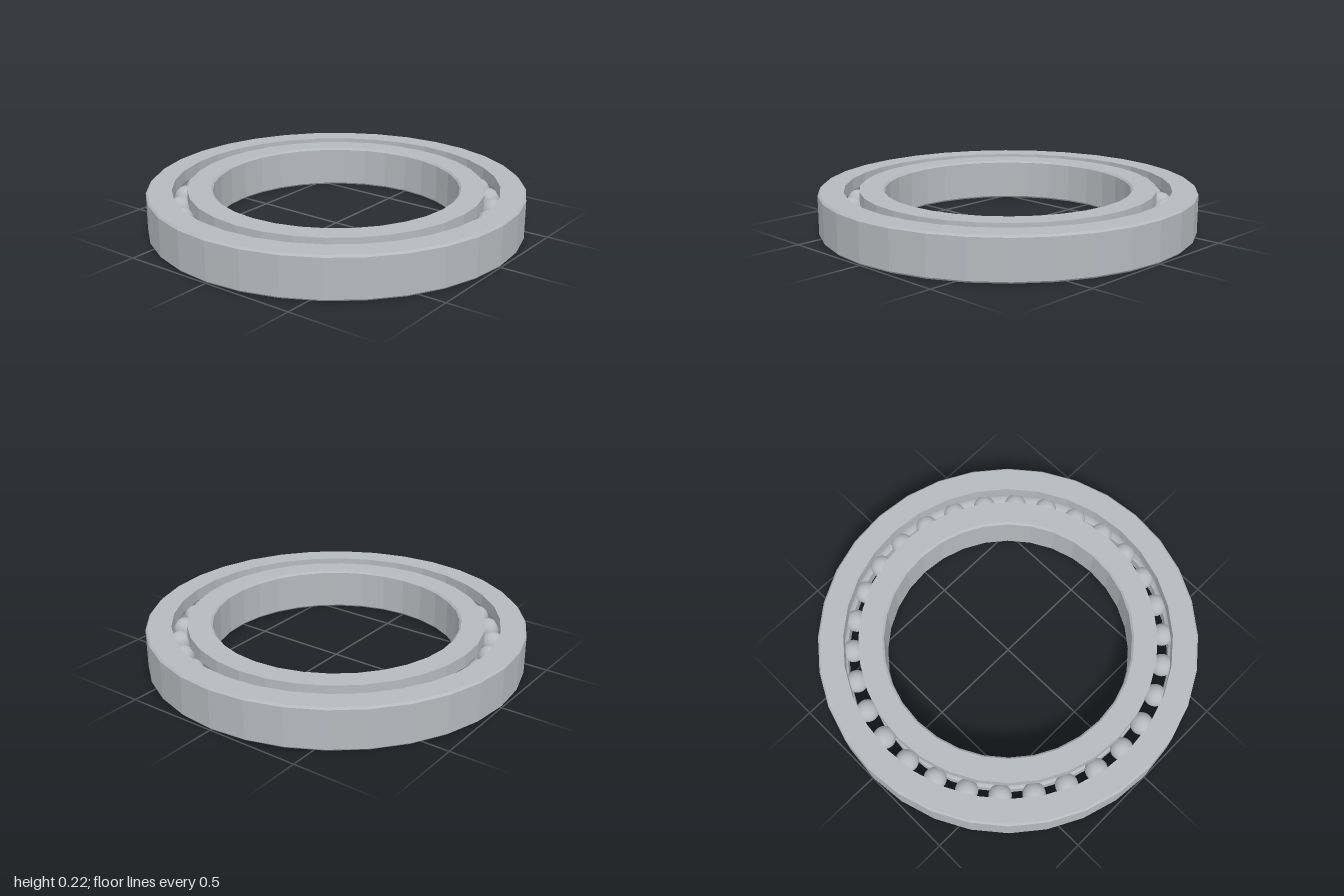
import * as THREE from 'three';

const HEIGHT = 0.224, MID = HEIGHT / 2;
const SEGMENTS = 32, BALLS = 30;
const PITCH = 0.826, BALL_R = 0.06, LAND = 0.04; // ball circle, ball radius, half gap
const CHAMFER = 0.01;

// Arc of the ball groove in cross-section, from angle a to angle b
function groove(a, b, steps = 8) {
  const r = BALL_R + 0.001, points = [];
  for (let i = 0; i <= steps; i++) {
    const t = a + ((b - a) * i) / steps;
    points.push([PITCH + r * Math.cos(t), MID + r * Math.sin(t)]);
  }
  return points;
}

// Faceted ring turned from a closed counterclockwise cross-section
function ring(name, profile, material) {
  const points = [...profile, profile[0]].map(([x, y]) => new THREE.Vector2(x, y));
  const geometry = new THREE.LatheGeometry(points, SEGMENTS).toNonIndexed();
  geometry.computeVertexNormals();
  const mesh = new THREE.Mesh(geometry, material);
  mesh.name = name;
  return mesh;
}

export function createModel() {
  const steel = new THREE.MeshStandardMaterial({ color: 0xb6b9be });
  steel.name = 'steel';
  const model = new THREE.Group();
  model.name = 'ballBearing';
  const half = Math.acos(LAND / (BALL_R + 0.001));

  // Outer ring: chamfered outside, grooved inside
  const outerLand = PITCH + LAND, outer = 1;
  model.add(ring('outerRing', [
    [outerLand, 0], [outer - CHAMFER, 0], [outer, CHAMFER],
    [outer, HEIGHT - CHAMFER], [outer - CHAMFER, HEIGHT], [outerLand, HEIGHT],
    ...groove(half, -half),
  ], steel));

  // Inner ring: grooved outside, chamfered bore
  const innerLand = PITCH - LAND, bore = 0.653;
  model.add(ring('innerRing', [
    [bore + CHAMFER, 0], [innerLand, 0],
    ...groove(Math.PI + half, Math.PI - half),
    [innerLand, HEIGHT], [bore + CHAMFER, HEIGHT],
    [bore, HEIGHT - CHAMFER], [bore, CHAMFER],
  ], steel));

  // Balls evenly spaced in the raceway
  const balls = new THREE.Group();
  balls.name = 'balls';
  const ballGeometry = new THREE.SphereGeometry(BALL_R, 24, 16);
  for (let i = 0; i < BALLS; i++) {
    const a = (i / BALLS) * Math.PI * 2;
    const ball = new THREE.Mesh(ballGeometry, steel);
    ball.name = 'ball';
    ball.position.set(PITCH * Math.cos(a), MID, PITCH * Math.sin(a));
    balls.add(ball);
  }
  model.add(balls);
  return model;
}
